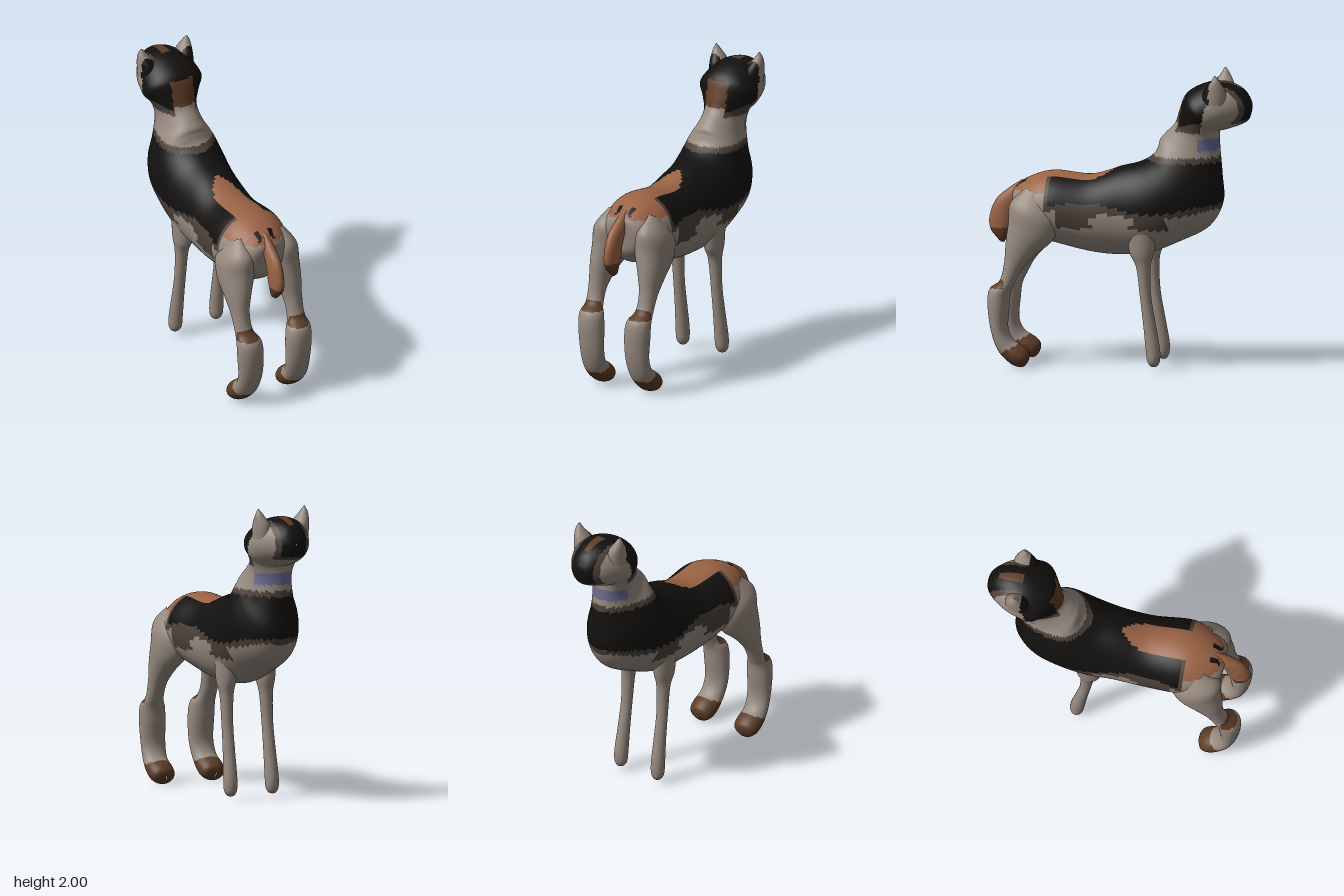
import * as THREE from 'three';

// Coat tones, picked per face by small rules
const TONES = [0x978a80, 0x13110f, 0x4b4039, 0x9a6344, 0x5c3b25, 0x6a6d92];
const GREY = 0, BLACK = 1, DARK = 2, TAN = 3, BROWN = 4, BLUE = 5;
const materials = TONES.map((color) => new THREE.MeshStandardMaterial({ color }));

// Smooth skin through sections [z1, y1, z2, y2, halfWidth, x]: each an ellipse
// spanning the two points in the side plane, and halfWidth sideways.
function loft(name, sections, tone, side = 1, around = 40, per = 8) {
  const v3 = (a, b, c) => new THREE.Vector3(a, b, c);
  const curveA = new THREE.CatmullRomCurve3(sections.map((s) => v3(s[0], s[1], s[2])), false, 'catmullrom', 0.5);
  const curveB = new THREE.CatmullRomCurve3(sections.map((s) => v3(s[3], s[4], (s[5] || 0) * side)), false, 'catmullrom', 0.5);
  const steps = (sections.length - 1) * per;
  const pos = [];
  for (let i = 0; i <= steps; i++) {
    const a = curveA.getPoint(i / steps), b = curveB.getPoint(i / steps);
    const cz = (a.x + a.z) / 2, cy = (a.y + b.x) / 2;
    const hz = (a.x - a.z) / 2, hy = (a.y - b.x) / 2;
    for (let j = 0; j < around; j++) {
      const t = (j / around) * Math.PI * 2, c = Math.cos(t);
      pos.push(b.z + Math.max(b.y, 0.001) * Math.sin(t), cy + hy * c, cz + hz * c);
    }
  }
  // Sort the faces by coat tone
  const lists = TONES.map(() => []);
  for (let i = 0; i < steps; i++) {
    for (let j = 0; j < around; j++) {
      const k = (j + 1) % around;
      const a = i * around + j, b = i * around + k, c = a + around, d = b + around;
      const mid = (n) => (pos[a * 3 + n] + pos[b * 3 + n] + pos[c * 3 + n] + pos[d * 3 + n]) / 4;
      lists[tone(mid(0), mid(1), mid(2))].push(a, b, c, b, d, c);
    }
  }
  const geo = new THREE.BufferGeometry();
  geo.setAttribute('position', new THREE.Float32BufferAttribute(pos, 3));
  geo.setIndex(lists.flat());
  let start = 0;
  lists.forEach((l, m) => {
    if (l.length) geo.addGroup(start, l.length, m);
    start += l.length;
  });
  geo.computeVertexNormals();
  const mesh = new THREE.Mesh(geo, materials);
  mesh.name = name;
  return mesh;
}

// Signed ellipse test: positive inside, 1 at the middle
const spot = (u, v, u0, v0, ru, rv) => 1 - Math.hypot((u - u0) / ru, (v - v0) / rv);

// Dark saddle, tan back stripe, pale neck, dark cap on the head
function bodyTone(x, y, z) {
  const ax = Math.abs(x);
  if (z < -0.35 && y > 1.6) {
    if (z > -0.5 && ax < 0.08 && y < 1.83) return y < 1.66 ? GREY : BROWN;
    const cap = z + 0.6 + (y - 1.75) * 0.25;
    if (cap > 0) return y > 1.66 - (z + 0.5) * 0.3 ? BLACK : DARK;
    if (ax < 0.09 && y > 1.69) return ax < 0.025 && y > 1.9 ? BROWN : BLACK;
    if (ax < 0.12 && y > 1.67) return DARK;
    return GREY;
  }
  if (z < -0.54 && y > 1.48 && y < 1.56) return BLUE;
  if (ax < 0.065 && spot(ax, z, 0.06, 0.66, 0.03, 0.035) > 0 && y > 1.1) return BLACK;
  if (y > 1.2 && spot(x, z, 0, 0.34, 0.11, 0.31) > 0) return TAN;
  if (y > 1.17 && z > 0.48) return TAN;
  if (z < 0.2 && spot(z, y, 0.02, 1.0, 0.16, 0.05) > 0) return GREY;
  const saddle = Math.min(y - 1.07 - 0.03 * Math.sin(z * 7), 1.42 - y, 0.47 - z);
  if (saddle > 0.02) return BLACK;
  if (saddle > -0.015) return DARK;
  if (z > -0.35 && z < 0.38 && y > 0.95 && y < 1.1) return DARK;
  return GREY;
}

export function createModel() {
  const model = new THREE.Group();
  model.name = 'cat';

  // Trunk, neck and head in one skin, from rump to nose
  model.add(loft('body', [
    [0.72, 1.11, 0.71, 1.03, 0.005],
    [0.71, 1.18, 0.69, 0.93, 0.13],
    [0.61, 1.25, 0.60, 0.85, 0.21],
    [0.45, 1.295, 0.45, 0.82, 0.25],
    [0.20, 1.28, 0.20, 0.765, 0.235],
    [0.00, 1.34, 0.00, 0.75, 0.23],
    [-0.14, 1.38, -0.20, 0.77, 0.245],
    [-0.23, 1.44, -0.42, 0.86, 0.25],
    [-0.26, 1.50, -0.60, 0.96, 0.235],
    [-0.27, 1.54, -0.69, 1.12, 0.20],
    [-0.31, 1.585, -0.685, 1.30, 0.155],
    [-0.37, 1.65, -0.67, 1.48, 0.135],
    [-0.40, 1.74, -0.665, 1.575, 0.165],
    [-0.44, 1.84, -0.67, 1.605, 0.21],
    [-0.52, 1.90, -0.71, 1.615, 0.207],
    [-0.63, 1.935, -0.755, 1.63, 0.19],
    [-0.74, 1.93, -0.81, 1.65, 0.15],
    [-0.83, 1.885, -0.86, 1.68, 0.095],
    [-0.875, 1.82, -0.88, 1.73, 0.05],
    [-0.885, 1.78, -0.885, 1.77, 0.001],
  ], bodyTone, 1, 72));

  // Tail hanging flat against the rump
  model.add(loft('tail', [
    [0.64, 1.12, 0.66, 1.23, 0.03],
    [0.69, 1.07, 0.75, 1.17, 0.04],
    [0.72, 1.0, 0.84, 1.09, 0.045],
    [0.728, 0.94, 0.885, 0.98, 0.045],
    [0.755, 0.87, 0.88, 0.89, 0.042],
    [0.775, 0.82, 0.835, 0.83, 0.03],
    [0.79, 0.80, 0.81, 0.802, 0.002],
  ], (x, y) => (y > 0.9 ? TAN : BROWN)));

  for (const side of [1, -1]) {
    const label = side > 0 ? 'left' : 'right';

    // Pointed ear: dark behind, pale in front
    model.add(loft(label + 'Ear', [
      [-0.56, 1.80, -0.74, 1.80, 0.07, 0.13],
      [-0.59, 1.89, -0.735, 1.89, 0.055, 0.145],
      [-0.64, 1.955, -0.705, 1.955, 0.03, 0.165],
      [-0.665, 2.0, -0.675, 2.0, 0.002, 0.172],
    ], (x, y, z) => (z > -0.63 ? BLACK : GREY), side, 28));

    // Hind leg: thigh, narrow knee, thick hock and forward foot
    model.add(loft(label + 'HindLeg', [
      [0.44, 1.12, 0.60, 1.20, 0.05, 0.15],
      [0.38, 0.99, 0.71, 1.10, 0.115, 0.16],
      [0.42, 0.86, 0.722, 0.97, 0.115, 0.17],
      [0.53, 0.76, 0.737, 0.83, 0.085, 0.19],
      [0.62, 0.66, 0.745, 0.70, 0.062, 0.20],
      [0.68, 0.55, 0.775, 0.58, 0.062, 0.198],
      [0.705, 0.49, 0.845, 0.52, 0.085, 0.188],
      [0.715, 0.40, 0.86, 0.42, 0.092, 0.183],
      [0.725, 0.26, 0.84, 0.25, 0.087, 0.18],
      [0.69, 0.18, 0.79, 0.11, 0.085, 0.185],
      [0.62, 0.135, 0.70, 0.02, 0.09, 0.187],
      [0.585, 0.10, 0.625, 0.0, 0.07, 0.187],
      [0.578, 0.06, 0.59, 0.03, 0.002, 0.187],
    ], (x, y, z) => (y < 0.13 - (z - 0.7) * 0.5 ? BROWN : y > 0.53 && y < 0.59 && z > 0.74 ? BROWN : GREY), side));

    // Front leg: a slim post reaching slightly forward
    model.add(loft(label + 'FrontLeg', [
      [-0.27, 0.95, -0.07, 0.95, 0.07, 0.145],
      [-0.255, 0.80, -0.09, 0.79, 0.062, 0.147],
      [-0.23, 0.69, -0.135, 0.69, 0.046, 0.148],
      [-0.235, 0.50, -0.16, 0.50, 0.039, 0.15],
      [-0.265, 0.32, -0.182, 0.32, 0.041, 0.152],
      [-0.295, 0.15, -0.20, 0.15, 0.046, 0.155],
      [-0.295, 0.07, -0.21, 0.07, 0.044, 0.156],
      [-0.28, 0.035, -0.23, 0.035, 0.026, 0.156],
      [-0.26, 0.025, -0.25, 0.025, 0.002, 0.156],
    ], () => GREY, side, 28));
  }
  return model;
}
